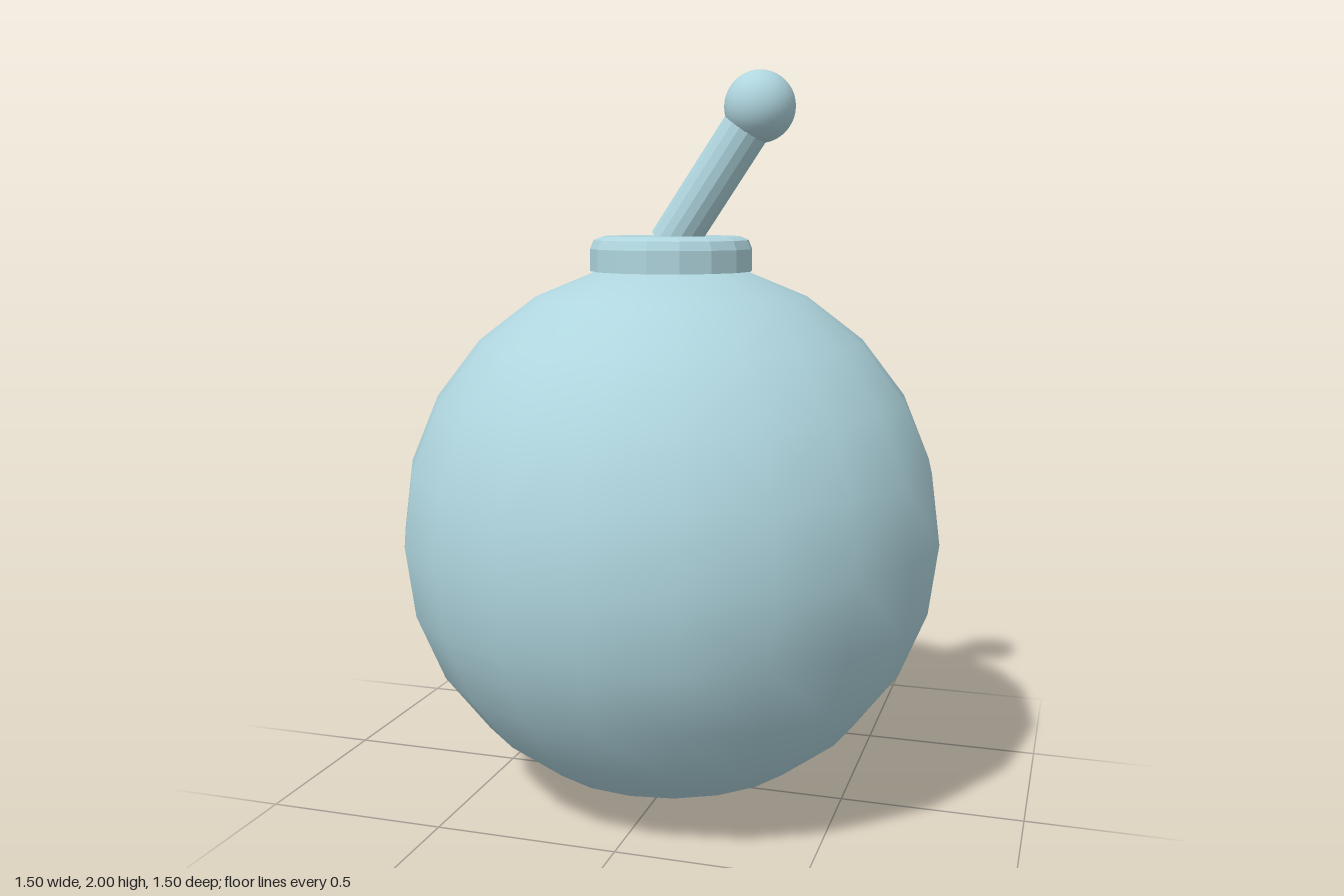
import * as THREE from 'three';

export function createModel() {
  const group = new THREE.Group();
  const paleBlue = new THREE.MeshStandardMaterial({ color: 0xafd5de });
  paleBlue.name = 'paleBlue';

  const add = (name, geometry) => {
    const mesh = new THREE.Mesh(geometry, paleBlue);
    mesh.name = name;
    group.add(mesh);
    return mesh;
  };
  // Faceted normals baked into the geometry
  const faceted = (geometry) => {
    const flat = geometry.toNonIndexed();
    flat.computeVertexNormals();
    return flat;
  };

  // Round body
  add('body', new THREE.SphereGeometry(0.75, 20, 12)).position.y = 0.75;

  // Bevelled collar on top of the body
  const profile = [[0, 1.47], [0.223, 1.47], [0.223, 1.53], [0.213, 1.554], [0.188, 1.564], [0, 1.564]]
    .map(([r, y]) => new THREE.Vector2(r, y));
  add('collar', faceted(new THREE.LatheGeometry(profile, 16)));

  // Fuse leaning to the model's left, ending in a ball
  const base = new THREE.Vector3(0.002, 1.543, 0);
  const tip = new THREE.Vector3(0.245, 1.905, 0);
  const direction = tip.clone().sub(base);
  const fuse = add('fuse', faceted(new THREE.CylinderGeometry(0.065, 0.065, direction.length(), 16)));
  fuse.position.copy(base).add(tip).multiplyScalar(0.5);
  fuse.quaternion.setFromUnitVectors(new THREE.Vector3(0, 1, 0), direction.normalize());

  add('fuseBall', new THREE.SphereGeometry(0.095, 32, 20)).position.copy(tip);

  return group;
}
